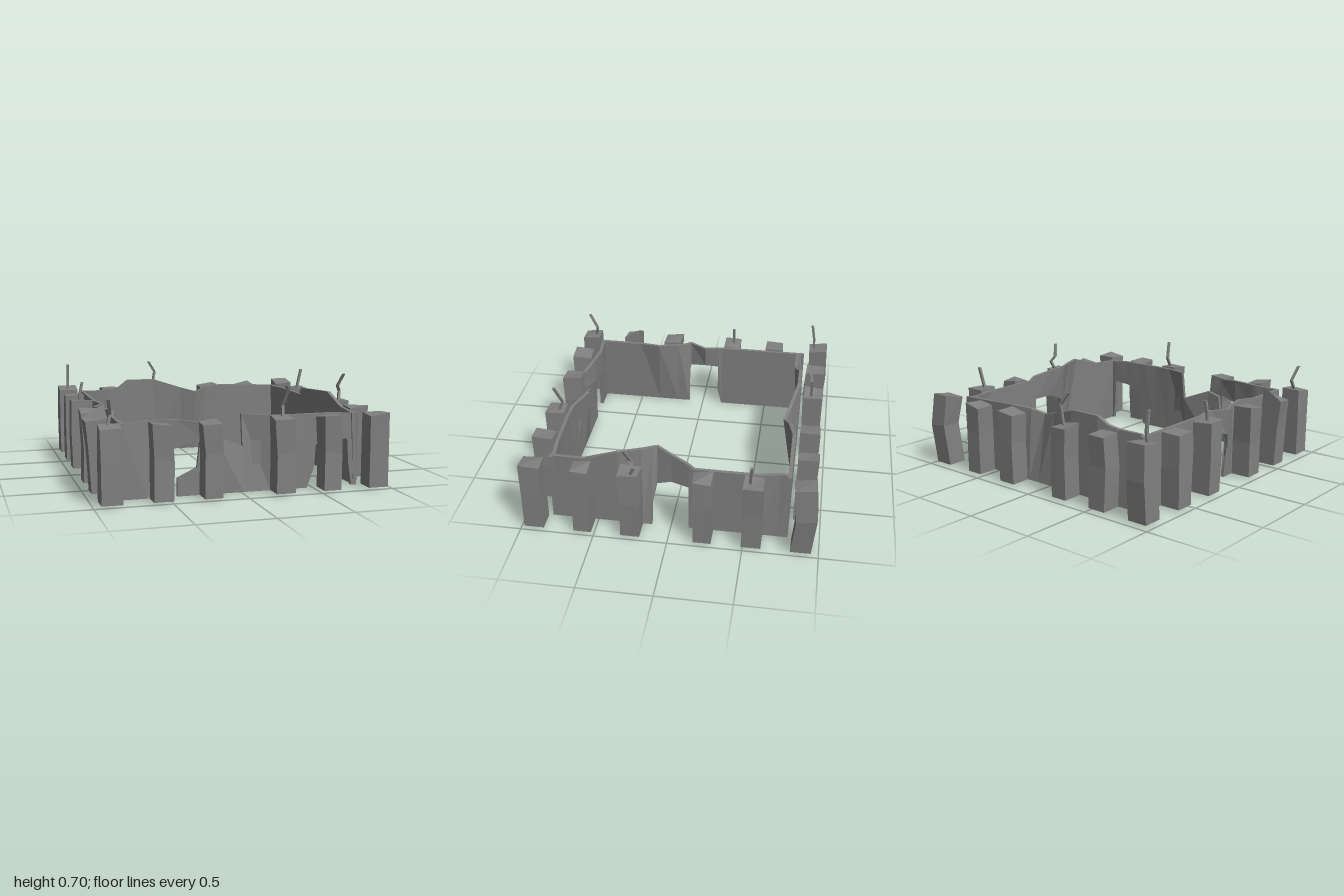
import * as THREE from 'three';

const stone = new THREE.MeshStandardMaterial({ color: 0x808080, flatShading: true, side: THREE.DoubleSide });
stone.name = 'grey stone';

// Joins a row of four-cornered rings into a closed, faceted solid
function loft(name, rings) {
  const pos = [];
  const quad = (a, b, c, d) => { for (const p of [a, b, c, a, c, d]) pos.push(...p); };
  for (let i = 0; i < rings.length - 1; i++) {
    const a = rings[i], b = rings[i + 1];
    for (let k = 0; k < 4; k++) {
      const n = (k + 1) % 4;
      quad(a[k], a[n], b[n], b[k]);
    }
  }
  const e = rings[rings.length - 1], s = rings[0];
  quad(s[3], s[2], s[1], s[0]);
  quad(e[0], e[1], e[2], e[3]);
  const geo = new THREE.BufferGeometry();
  geo.setAttribute('position', new THREE.Float32BufferAttribute(pos, 3));
  geo.computeVertexNormals();
  const mesh = new THREE.Mesh(geo, stone);
  mesh.name = name;
  return mesh;
}

// Wall band: stations are [along, bottom, top, inward bend at full height]
const THICK = 0.024;
function wall(name, stations, place) {
  return loft(name, stations.map(([u, lo, hi, bend]) => {
    const at = (y, t) => place(u, y, bend * y / 0.5 + t);
    return [at(lo, 0), at(lo, THICK), at(hi, THICK), at(hi, 0)];
  }));
}

let seed = 7;
function jitter(size) {
  seed = (seed * 16807) % 2147483647;
  return (seed / 2147483647 - 0.5) * 2 * size;
}

// Rough pillar: straight foot, uneven waist and a slightly tilted top
function pillar(x0, x1, z0, z1, o = {}) {
  const corners = [[x0, z0], [x0, z1], [x1, z1], [x1, z0]];
  const foot = corners.map(([x, z]) => [x, 0.01, z]);
  const [mx, mz] = o.waist || [jitter(0.008), jitter(0.008)];
  const [tx, tz] = o.lean || [jitter(0.008), jitter(0.008)];
  const waist = corners.map(([x, z]) => [x + mx, 0.28 + jitter(0.03), z + mz]);
  const top = corners.map(([x, z], i) => [
    x + tx + jitter(0.006),
    o.tops ? o.tops[i] : 0.495 + jitter(0.015),
    z + tz + jitter(0.006)
  ]);
  return loft('pillar', [foot, waist, top]);
}

// Bent iron rod, square in section
function rod(...path) {
  const r = 0.009;
  return loft('bentRod', path.map(([x, y, z]) =>
    [[-r, -r], [-r, r], [r, r], [r, -r]].map(([a, b]) => [x + a, y, z + b])));
}

export function createModel() {
  const model = new THREE.Group();
  model.name = 'ruinedEnclosure';

  // Walls
  const walls = new THREE.Group();
  walls.name = 'walls';
  const back = (u, y, d) => [u, y, -0.79 + d];
  const front = (u, y, d) => [u, y, 0.82 - d];
  const left = (u, y, d) => [0.82 - d, y, u];
  const right = (u, y, d) => [-0.8 + d, y, u];
  walls.add(
    wall('backWall', [
      [-0.8, 0, 0.5, 0], [-0.75, 0, 0.5, 0.04], [-0.58, 0, 0.5, 0.035], [-0.5, 0, 0.52, 0.015],
      [-0.43, 0, 0.57, 0], [-0.22, 0, 0.57, 0], [0, 0, 0.5, 0.05], [0.11, 0, 0.47, 0.08],
      [0.2, 0, 0.5, 0.035], [0.34, 0, 0.51, 0], [0.57, 0, 0.5, 0], [0.82, 0, 0.49, 0]
    ], back),
    // front wall: broken lintel over the first doorway, then the long piece
    wall('frontWallLintel', [
      [-0.8, 0, 0.49, 0], [-0.62, 0, 0.5, 0.02], [-0.6, 0.33, 0.5, 0.02],
      [-0.43, 0.33, 0.5, 0], [-0.25, 0.37, 0.48, -0.05]
    ], front),
    wall('frontWall', [
      [-0.43, 0, 0.12, 0], [-0.3, 0, 0.18, 0], [-0.28, 0, 0.35, 0], [-0.18, 0, 0.38, 0],
      [0.02, 0, 0.3, 0.07], [0.02, 0, 0.51, 0.07], [0.2, 0, 0.5, 0], [0.34, 0, 0.5, -0.005],
      [0.46, 0, 0.5, 0], [0.51, 0.14, 0.5, 0], [0.52, 0.29, 0.5, 0], [0.64, 0.31, 0.5, 0.005],
      [0.75, 0.32, 0.49, 0.015], [0.76, 0.15, 0.49, 0.015], [0.78, 0, 0.49, 0.015], [0.82, 0, 0.49, 0]
    ], front),
    // side walls, each with a doorway near the middle
    wall('leftWall', [
      [-0.79, 0, 0.49, 0.02], [-0.72, 0, 0.49, 0.03], [-0.58, 0, 0.49, 0], [-0.16, 0, 0.49, 0],
      [-0.12, 0, 0.52, 0.005], [-0.12, 0.34, 0.52, 0.005], [0, 0.35, 0.55, 0.05],
      [0.1, 0.31, 0.575, 0.09], [0.13, 0.15, 0.575, 0.08], [0.13, 0, 0.575, 0.08],
      [0.2, 0, 0.575, 0.05], [0.35, 0, 0.575, 0], [0.58, 0, 0.5, 0], [0.82, 0, 0.49, 0.02]
    ], left),
    wall('rightWall', [
      [-0.79, 0, 0.5, 0], [-0.5, 0, 0.5, 0], [-0.15, 0, 0.5, 0], [-0.03, 0, 0.5, 0.025],
      [-0.03, 0.09, 0.5, 0.025], [-0.03, 0.09, 0.5, 0.025]
    ].slice(0, 3).concat([
      [-0.12, 0.12, 0.5, 0.01], [-0.12, 0.34, 0.5, 0.01], [-0.02, 0.35, 0.5, 0.025],
      [0.1, 0.32, 0.5, -0.05], [0.13, 0.15, 0.5, -0.04], [0.11, 0, 0.5, -0.04],
      [0.2, 0, 0.5, 0], [0.35, 0, 0.5, 0.035], [0.5, 0, 0.49, 0], [0.82, 0, 0.49, 0]
    ]), right)
  );
  model.add(walls);

  // Pillars: six along each side, sharing the corners
  const pillars = new THREE.Group();
  pillars.name = 'pillars';
  const slots = [[-0.62, -0.49], [-0.29, -0.17], [0.19, 0.32], [0.52, 0.64]];
  for (const [a, b] of slots) {
    pillars.add(
      pillar(a, b, -0.95, -0.815),
      pillar(a, b, 0.845, 0.98, { waist: [0.005, -0.008], lean: [-0.01, 0] }),
      pillar(0.84, 0.975, a, b)
    );
    // the third pillar on this side leans out and has a steep top
    pillars.add(a > 0.5
      ? pillar(-0.955, -0.815, a, b, { waist: [-0.015, 0], lean: [-0.035, 0], tops: [0.49, 0.48, 0.5, 0.575] })
      : pillar(-0.955, -0.815, a, b));
  }
  pillars.add(
    pillar(-0.955, -0.815, -0.95, -0.815, { waist: [0, -0.02], lean: [0, -0.01], tops: [0.52, 0.5, 0.5, 0.52] }),
    pillar(0.84, 0.975, -0.95, -0.815, { waist: [0.02, -0.025], lean: [0, 0], tops: [0.52, 0.49, 0.5, 0.52] }),
    pillar(-0.95, -0.815, 0.845, 0.98, { waist: [0, 0], lean: [0, 0], tops: [0.5, 0.48, 0.49, 0.5] }),
    pillar(0.84, 0.975, 0.845, 0.98, { waist: [0, 0], lean: [-0.005, 0], tops: [0.5, 0.49, 0.51, 0.5] })
  );
  model.add(pillars);

  // Iron rods left standing in some pillars
  const rods = new THREE.Group();
  rods.name = 'rods';
  rods.add(
    rod([-0.89, 0.48, -0.86], [-0.885, 0.58, -0.86], [-0.885, 0.7, -0.84]),
    rod([-0.21, 0.48, -0.87], [-0.185, 0.62, -0.87], [-0.24, 0.705, -0.85]),
    rod([0.91, 0.48, -0.53], [0.93, 0.56, -0.535], [0.95, 0.64, -0.54]),
    rod([-0.89, 0.48, -0.23], [-0.885, 0.56, -0.23], [-0.87, 0.63, -0.23]),
    rod([0.93, 0.48, 0.25], [0.95, 0.56, 0.215], [0.925, 0.6, 0.24], [0.955, 0.69, 0.28]),
    rod([-0.89, 0.48, 0.89], [-0.87, 0.56, 0.87], [-0.89, 0.66, 0.93]),
    rod([0.255, 0.48, 0.9], [0.265, 0.57, 0.86], [0.29, 0.69, 0.91])
  );
  model.add(rods);
  return model;
}
